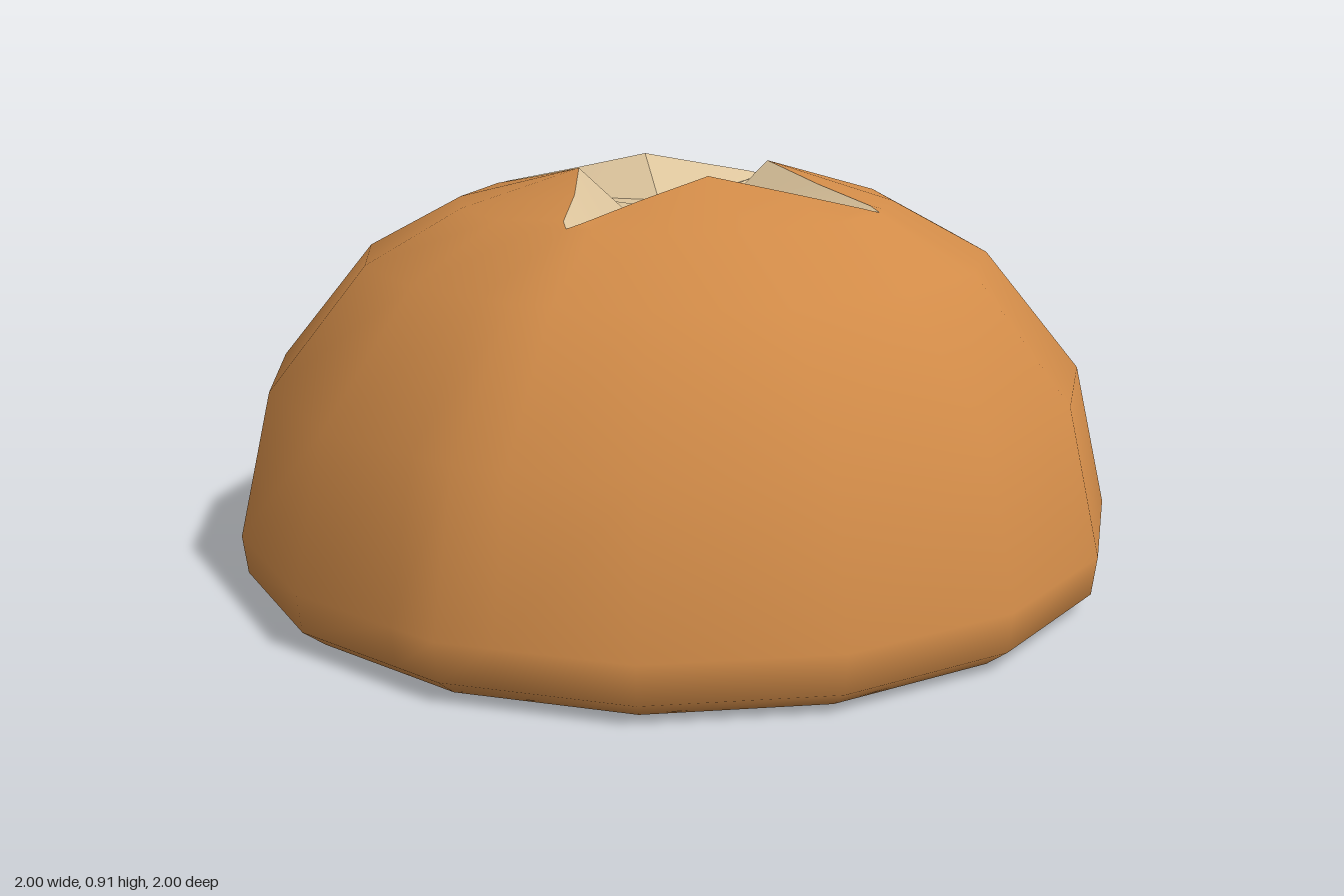
import * as THREE from 'three';
import { mergeVertices, toCreasedNormals } from 'three/addons/utils/BufferGeometryUtils.js';

// Half of one quadrant in plan: directions of a 16-sided outline, with one extra point on a chord
const C = Math.cos(Math.PI / 8), S = Math.sin(Math.PI / 8), D = Math.SQRT1_2;
const OUTLINE = [[1, 0], [C, S], [C + (D - C) * 0.7, S + (D - S) * 0.7], [D, D]];

// Mirror four [u, v, y] points over the diagonal, then repeat them in four quadrants
function ring(half) {
  const mirrored = [half[2], half[1]].map(([u, v, y]) => [v, u, y]);
  const quadrant = [...half, ...mirrored];
  const points = [];
  for (let q = 0; q < 4; q++) {
    for (let [u, v, y] of quadrant) {
      for (let k = 0; k < q; k++) [u, v] = [-v, u];
      points.push(new THREE.Vector3(u, y, -v));
    }
  }
  return points;
}

const roundRing = (r, y) => ring(OUTLINE.map(([u, v]) => [u * r, v * r, y]));

// Skin successive rings, listed from the base up and inwards
function skin(rings) {
  const positions = [];
  const triangle = (a, b, c) => {
    if (a.distanceTo(b) < 1e-4 || b.distanceTo(c) < 1e-4 || c.distanceTo(a) < 1e-4) return;
    for (const p of [a, b, c]) positions.push(p.x, p.y, p.z);
  };
  for (let j = 0; j < rings.length - 1; j++) {
    const low = rings[j], high = rings[j + 1], n = low.length;
    for (let i = 0; i < n; i++) {
      const k = (i + 1) % n;
      triangle(low[i], low[k], high[k]);
      triangle(low[i], high[k], high[i]);
    }
  }
  const geometry = new THREE.BufferGeometry();
  geometry.setAttribute('position', new THREE.Float32BufferAttribute(positions, 3));
  return geometry;
}

export function createModel() {
  const group = new THREE.Group();
  group.name = 'breadBun';
  const crustMaterial = new THREE.MeshStandardMaterial({ color: 0xd18b48 });
  crustMaterial.name = 'brown crust';
  const crumbMaterial = new THREE.MeshStandardMaterial({ color: 0xdcc49c });
  crumbMaterial.name = 'pale crumb';

  // Four-pointed star: its rim in the crust and the sunken floor inside it
  const tip = [0.348, 0.348, 0.83];
  const starRim = ring([[0.225, 0, 0.908], [0.28, 0.165, 0.872], [0.343, 0.31, 0.84], tip]);
  const starFloor = ring([[0.12, 0, 0.81], [0.21, 0.16, 0.812], [0.3, 0.285, 0.822], tip]);

  // Crust: base, rounded lower edge, dome and the raised lips around the star
  const profile = [[0, 0], [0.94, 0.005], [0.99, 0.045], [1, 0.13],
    [0.924, 0.45], [0.707, 0.715], [0.493, 0.83]];
  const crustRings = profile.map(([r, y]) => roundRing(r, y));
  const crustGeometry = mergeVertices(skin([...crustRings, starRim]));
  crustGeometry.computeVertexNormals();
  const crust = new THREE.Mesh(crustGeometry, crustMaterial);
  crust.name = 'crust';

  // Scored cross: sloping walls and floor, with creases where they meet
  const cutGeometry = toCreasedNormals(skin([starRim, starFloor, roundRing(0, 0.805)]), 0.45);
  const cut = new THREE.Mesh(cutGeometry, crumbMaterial);
  cut.name = 'scoredCross';

  group.add(crust, cut);
  return group;
}
